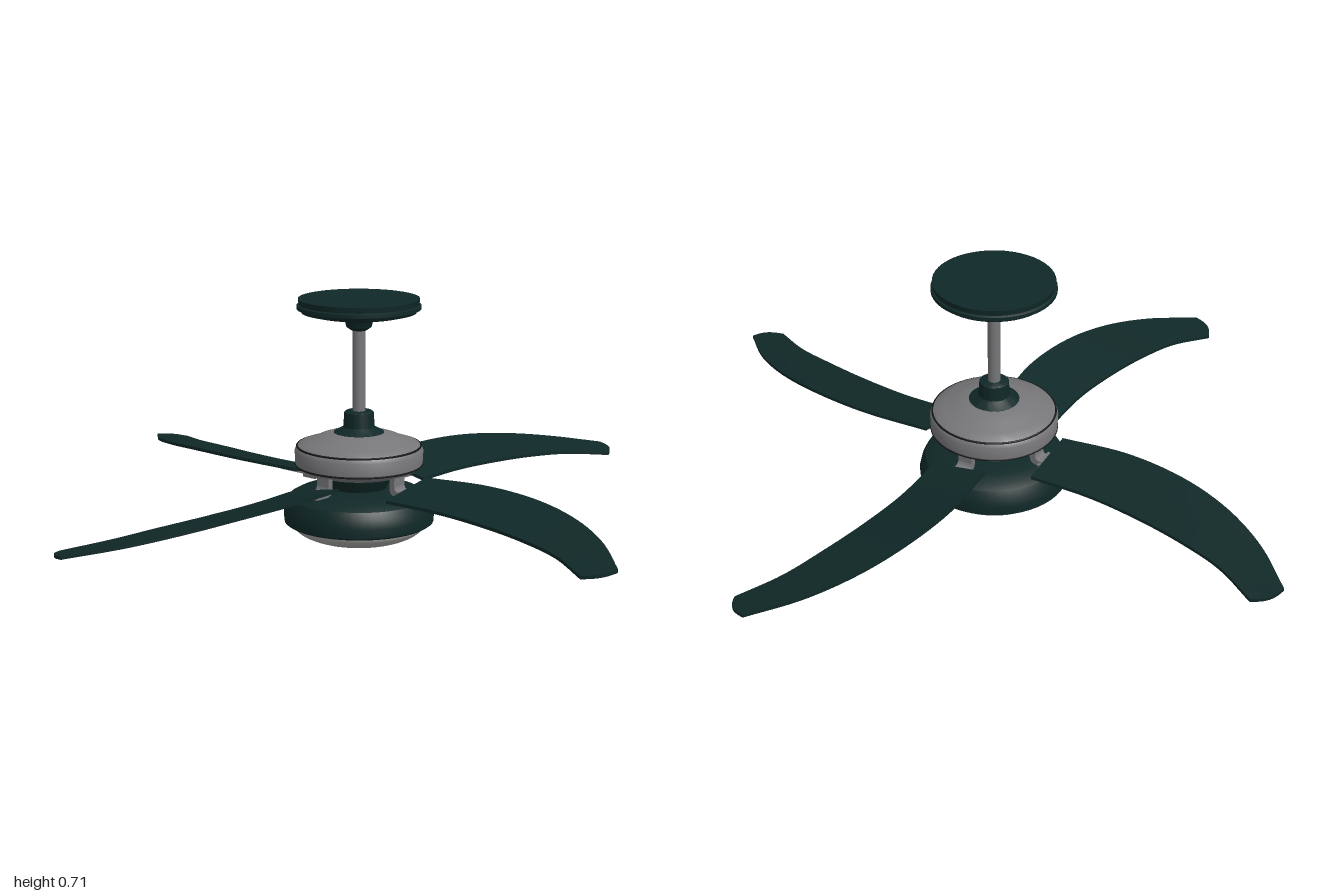
import * as THREE from 'three';
import { mergeVertices, toCreasedNormals } from 'three/addons/utils/BufferGeometryUtils.js';

const mat = (name, color, side = THREE.FrontSide) => {
  const m = new THREE.MeshStandardMaterial({ color, side });
  m.name = name;
  return m;
};

const part = (name, geometry, material) => {
  const mesh = new THREE.Mesh(geometry, material);
  mesh.name = name;
  return mesh;
};

// Turned part; the profile is [radius, y] from bottom to top
const turned = (name, profile, material, crease = 0.6) => {
  const pts = profile.map(([r, y]) => new THREE.Vector2(r, y));
  return part(name, toCreasedNormals(new THREE.LatheGeometry(pts, 48), crease), material);
};

// Swept, pitched blade pointing along +x, lofted between its two edges
function bladeGeometry() {
  const curve = (pts) => new THREE.CatmullRomCurve3(pts.map((p) => new THREE.Vector3(...p)));
  const high = curve([[0.18, 0.204, -0.085], [0.38, 0.209, -0.11], [0.57, 0.204, -0.095],
    [0.73, 0.189, -0.05], [0.87, 0.168, 0.025], [0.995, 0.144, 0.133]]);
  const low = curve([[0.18, 0.17, 0.088], [0.36, 0.168, 0.077], [0.53, 0.164, 0.09],
    [0.68, 0.158, 0.115], [0.81, 0.148, 0.148], [0.934, 0.132, 0.21]]);
  const steps = 28, across = 8, ring = 2 * (across + 1), thick = 0.009;
  const pos = [], index = [];
  for (let i = 0; i <= steps; i++) {
    const t = i / steps, a = high.getPoint(t), b = low.getPoint(t);
    for (let j = 0; j < ring; j++) {
      const top = j <= across;
      const s = (top ? j : ring - 1 - j) / across;
      const p = a.clone().lerp(b, s);
      const bulge = Math.sin(Math.PI * s) * 0.016 * t ** 14;   // rounded tip
      pos.push(p.x + bulge * 0.8, p.y - (top ? 0 : thick), p.z + bulge * 0.6);
    }
  }
  for (let i = 0; i < steps; i++) {
    for (let j = 0; j < ring; j++) {
      const k = (j + 1) % ring;
      const a = i * ring + j, b = i * ring + k, c = b + ring, d = a + ring;
      index.push(a, b, d, b, c, d);
    }
  }
  const e = steps * ring;
  for (let j = 0; j < across; j++) {
    const k = ring - 1 - j;
    index.push(e + j, e + j + 1, e + k - 1, e + j, e + k - 1, e + k);   // tip
    index.push(j, k - 1, j + 1, j, k, k - 1);                           // root
  }
  const g = new THREE.BufferGeometry();
  g.setAttribute('position', new THREE.Float32BufferAttribute(pos, 3));
  g.setIndex(index);
  return toCreasedNormals(mergeVertices(g), 0.6);
}

// Bent strip that drops from the motor and turns outward
function armGeometry() {
  const s = new THREE.Shape();
  s.moveTo(0.135, 0.225);
  s.lineTo(0.135, 0.185);
  s.quadraticCurveTo(0.135, 0.163, 0.16, 0.163);
  s.lineTo(0.2, 0.163);
  s.lineTo(0.2, 0.178);
  s.lineTo(0.168, 0.178);
  s.quadraticCurveTo(0.153, 0.178, 0.153, 0.192);
  s.lineTo(0.153, 0.225);
  s.closePath();
  const g = new THREE.ExtrudeGeometry(s, { depth: 0.044, bevelEnabled: false, curveSegments: 6 });
  return toCreasedNormals(g.translate(0, 0, -0.022), 0.6);
}

export function createModel() {
  const fan = new THREE.Group();
  fan.name = 'ceilingFan';
  const dark = mat('dark green', 0x0f2827);
  const metal = mat('grey metal', 0x77777a);
  const glass = mat('frosted glass', 0xa6a6a2);
  const seam = mat('black seam', 0x151617);

  // Ceiling mount and rod
  fan.add(turned('canopy', [[0, 0.618], [0.022, 0.618], [0.036, 0.628], [0.04, 0.645], [0.045, 0.65],
    [0.13, 0.662], [0.163, 0.67], [0.167, 0.677], [0.176, 0.68], [0.176, 0.69], [0.17, 0.693],
    [0.172, 0.709], [0, 0.709]], dark));
  const rod = part('rod', new THREE.CylinderGeometry(0.018, 0.018, 0.27, 24), metal);
  rod.position.y = 0.5;
  fan.add(rod);
  fan.add(turned('rodCoupling', [[0.072, 0.31], [0.072, 0.325], [0.058, 0.332], [0.045, 0.34],
    [0.042, 0.382], [0.036, 0.386], [0, 0.386]], dark));

  // Motor housing
  fan.add(turned('motorHousing', [[0, 0.208], [0.135, 0.208], [0.145, 0.218], [0.172, 0.222],
    [0.182, 0.232], [0.184, 0.272], [0.178, 0.284], [0.172, 0.29], [0.145, 0.298], [0.115, 0.312],
    [0.078, 0.324], [0, 0.324]], metal));
  for (const [y, r] of [[0.285, 0.177], [0.232, 0.181]]) {
    const ring = part('motorSeam', new THREE.TorusGeometry(r, 0.003, 6, 48), seam);
    ring.rotation.x = Math.PI / 2;
    ring.position.y = y;
    fan.add(ring);
  }

  // Light kit: hub, shade and bowl
  fan.add(turned('lowerHub', [[0.075, 0.15], [0.082, 0.172], [0.1, 0.192], [0.104, 0.212], [0, 0.212]], dark));
  fan.add(turned('lightHousing', [[0, 0.06], [0.205, 0.06], [0.214, 0.066], [0.216, 0.092], [0.21, 0.118],
    [0.2, 0.138], [0.178, 0.15], [0.145, 0.158], [0.11, 0.163], [0, 0.165]], dark));
  const bowl = [];
  for (let i = 0; i <= 12; i++) {
    const a = (i / 12) * Math.PI / 2;
    bowl.push([0.192 * Math.sin(a), 0.062 - 0.062 * Math.cos(a)]);
  }
  fan.add(turned('lightBowl', bowl, glass, 1));

  // Four blades with their brackets
  const bladeGeo = bladeGeometry(), armGeo = armGeometry();
  const plateGeo = new THREE.BoxGeometry(0.12, 0.009, 0.06);
  for (let i = 0; i < 4; i++) {
    const unit = new THREE.Group();
    unit.name = 'bladeUnit';
    const plate = part('bracketPlate', plateGeo, metal);
    plate.position.set(0.225, 0.173, 0);
    plate.rotation.x = 0.2;
    unit.add(part('blade', bladeGeo, dark), part('bracketArm', armGeo, metal), plate);
    unit.rotation.y = (i * Math.PI) / 2;
    fan.add(unit);
  }
  return fan;
}
